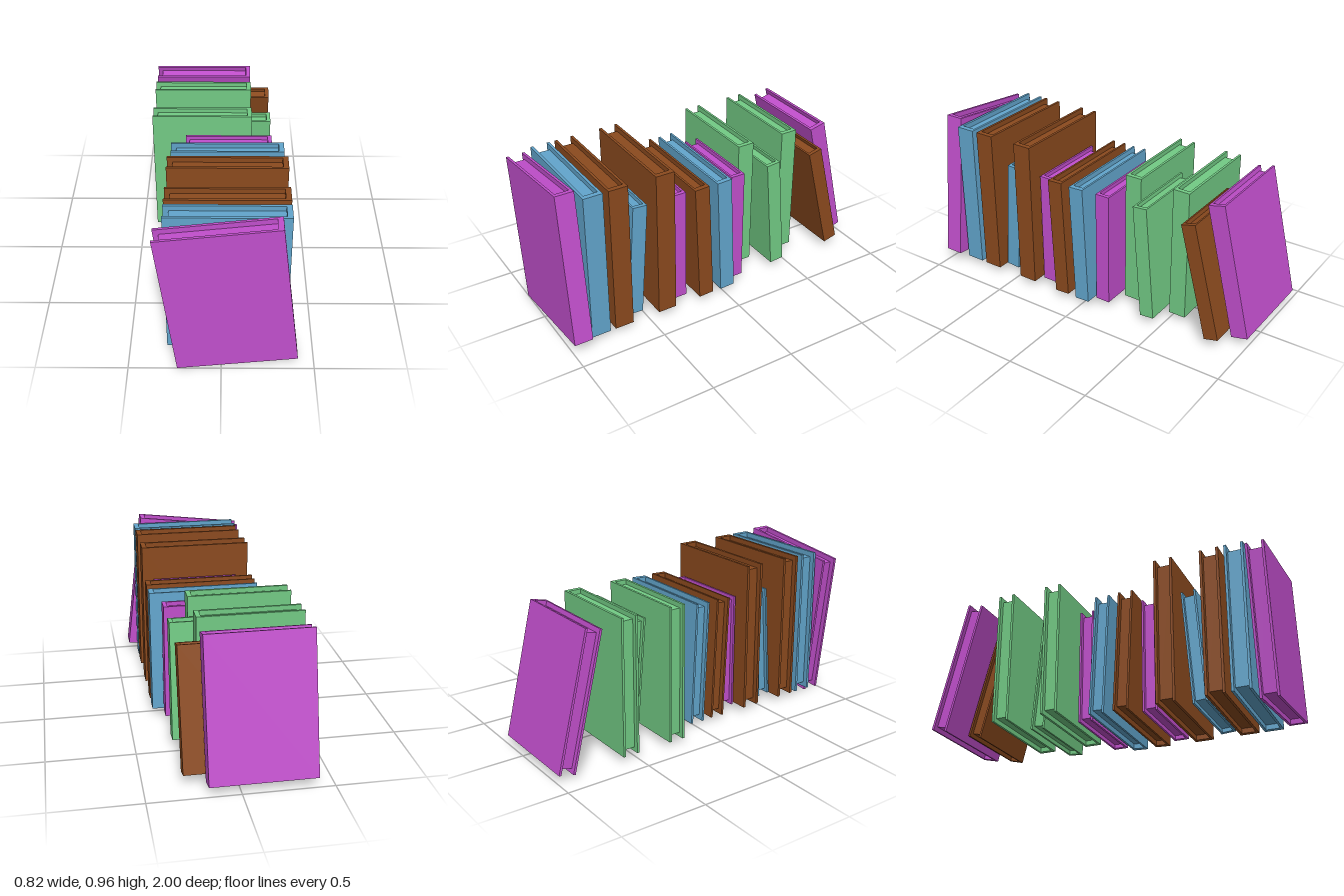
import * as THREE from 'three';

const PURPLE = 0xc14fcc, BLUE = 0x62a5cc, BROWN = 0x8b4a1e, GREEN = 0x72ca84;

// Formats: width, height, thickness and centre offset in x
const LARGE = { w: 0.65, h: 0.885, d: 0.112, x: 0.031 };
const MEDIUM = { w: 0.585, h: 0.795, d: 0.101, x: -0.118 };
const SMALL = { w: 0.505, h: 0.69, d: 0.087, x: 0.038 };
const WIDE = { w: 0.65, h: 0.724, d: 0.091, x: 0.031 };

// Row from front to back: format, colour, centre z, centre y, lean in degrees
// (positive tips the top forward), roll in degrees
const BOOKS = [
  [{ ...LARGE, d: 0.108, x: 0.034 }, PURPLE, 0.946, 0.481, 0, 6.8],
  [LARGE, BLUE, 0.815, 0.487, 0, 0],
  [LARGE, BROWN, 0.671, 0.487, 0, 0],
  [SMALL, BLUE, 0.539, 0.391, -4, 0],
  [LARGE, BROWN, 0.394, 0.487, 0, 0],
  [SMALL, PURPLE, 0.274, 0.39, 0, 0],
  [WIDE, BROWN, 0.148, 0.408, 2.5, 0],
  [WIDE, BLUE, 0.003, 0.408, 2.5, 0],
  [SMALL, PURPLE, -0.115, 0.39, 0, 0],
  [MEDIUM, GREEN, -0.246, 0.443, 0, 0],
  [SMALL, GREEN, -0.39, 0.391, 4.8, 0],
  [MEDIUM, GREEN, -0.551, 0.443, 0, 0],
  [SMALL, BROWN, -0.75, 0.393, 14.4, 0],
  [MEDIUM, PURPLE, -0.858, 0.434, 13.6, 0],
];

function createBook({ w, h, d }, color) {
  const book = new THREE.Group();
  const material = new THREE.MeshStandardMaterial({ color, flatShading: true });
  const board = d * 0.135;   // cover board thickness
  const inset = w * 0.046;   // spine thickness and overhang around the pages

  // Cover: a U-shaped section, spine on +x, extruded along the height
  const x0 = -w / 2, x1 = w / 2, z1 = d / 2;
  const section = new THREE.Shape([
    [x0, -z1], [x1, -z1], [x1, z1], [x0, z1],
    [x0, z1 - board], [x1 - inset, z1 - board],
    [x1 - inset, -z1 + board], [x0, -z1 + board],
  ].map(([x, y]) => new THREE.Vector2(x, y)));
  const coverGeometry = new THREE.ExtrudeGeometry(section, { depth: h, bevelEnabled: false });
  coverGeometry.translate(0, 0, -h / 2).rotateX(-Math.PI / 2);
  const cover = new THREE.Mesh(coverGeometry, material);
  cover.name = 'cover';

  // Page block, set back at the top, bottom and fore edge
  const pages = new THREE.Mesh(
    new THREE.BoxGeometry(w - 2 * inset, h - 2 * inset, d - 2 * board), material);
  pages.name = 'pages';

  book.add(cover, pages);
  return book;
}

export function createModel() {
  const row = new THREE.Group();
  row.name = 'bookRow';
  BOOKS.forEach(([format, color, z, y, lean, roll], i) => {
    const book = createBook(format, color);
    book.name = `book${i + 1}`;
    book.position.set(format.x, y, z);
    book.rotation.set(THREE.MathUtils.degToRad(lean), 0, THREE.MathUtils.degToRad(roll));
    row.add(book);
  });
  return row;
}
